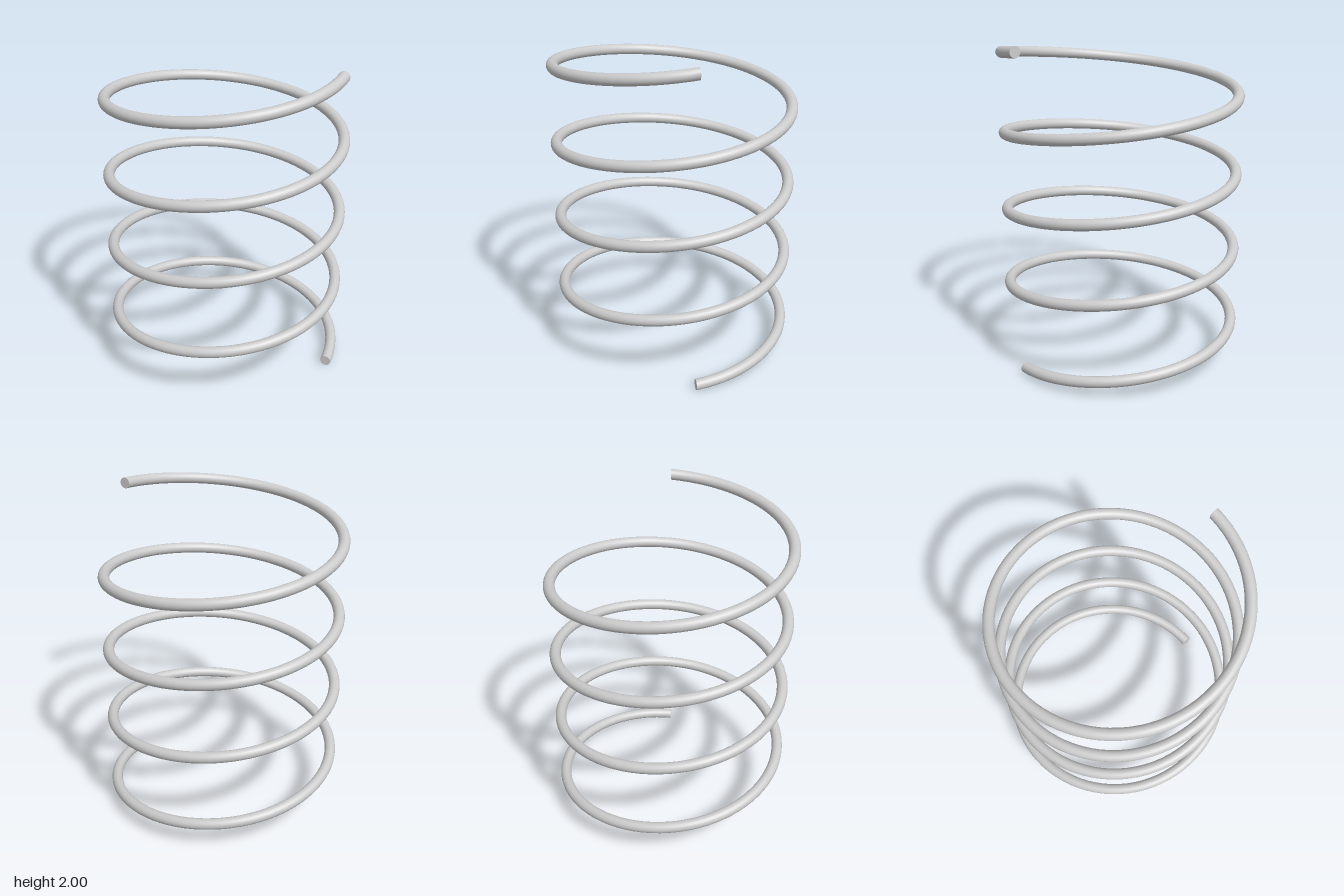
import * as THREE from 'three';
import { mergeVertices } from 'three/addons/utils/BufferGeometryUtils.js';

const COIL_RADIUS = 0.712, WIRE_RADIUS = 0.034, TURNS = 4, HEIGHT = 2;
const WIRE_SIDES = 24, STEPS_PER_TURN = 80;
const RISE = HEIGHT - 2 * WIRE_RADIUS;

// A torus wound several times round, lifted steadily along its length
function coilGeometry() {
  const torus = new THREE.TorusGeometry(
    COIL_RADIUS, WIRE_RADIUS, WIRE_SIDES, STEPS_PER_TURN * TURNS, Math.PI * 2 * TURNS);
  torus.rotateX(-Math.PI / 2);
  const pos = torus.attributes.position, uv = torus.attributes.uv;
  for (let i = 0; i < pos.count; i++) {
    pos.setY(i, pos.getY(i) + WIRE_RADIUS + RISE * uv.getX(i));
  }
  // Weld the seam along the wire so the shading stays smooth
  torus.deleteAttribute('uv');
  torus.deleteAttribute('normal');
  const coil = mergeVertices(torus, 1e-5);
  coil.computeVertexNormals();
  return coil;
}

export function createModel() {
  const group = new THREE.Group();
  group.name = 'coilSpring';
  const material = new THREE.MeshStandardMaterial({ color: 0xcccccc });

  const coil = new THREE.Mesh(coilGeometry(), material);
  coil.name = 'coil';
  group.add(coil);

  // Flat cut ends of the wire
  const addEnd = (name, y, turn) => {
    const end = new THREE.Mesh(new THREE.CircleGeometry(WIRE_RADIUS, WIRE_SIDES), material);
    end.name = name;
    end.position.set(COIL_RADIUS, y, 0);
    end.rotation.y = turn;
    group.add(end);
  };
  addEnd('bottomEnd', WIRE_RADIUS, 0);
  addEnd('topEnd', HEIGHT - WIRE_RADIUS, Math.PI);

  return group;
}
